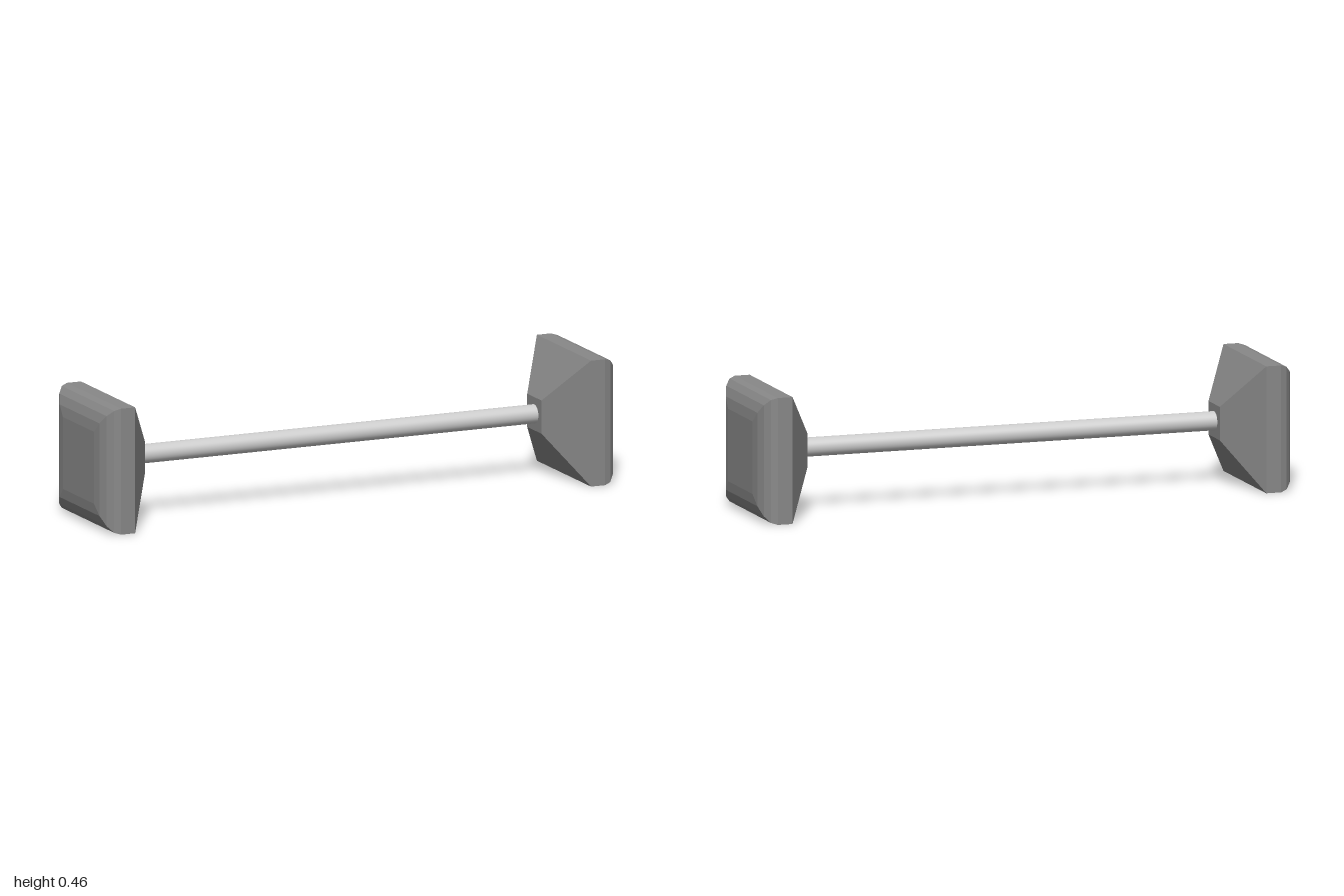
import * as THREE from 'three';

const CENTRE_Y = 0.2275;

// Square-sectioned head along +x: tapered neck, straight rim, rounded outer edge
function headGeometry() {
  const profile = [[0, 0.77], [0.06, 0.77], [0.2275, 0.885]];
  const steps = 4;
  for (let i = 0; i <= steps; i++) {
    const a = (i / steps) * Math.PI / 2;
    profile.push([0.13 + 0.0975 * Math.cos(a), 0.94 + 0.06 * Math.sin(a)]);
  }
  profile.push([0, 1]);
  // Half-widths become corner radii of a four-sided lathe
  const points = profile.map(([half, along]) => new THREE.Vector2(half * Math.SQRT2, along));
  return new THREE.LatheGeometry(points, 4, Math.PI / 4).rotateZ(-Math.PI / 2);
}

export function createModel() {
  const model = new THREE.Group();
  const barMaterial = new THREE.MeshStandardMaterial({ color: 0xcccccc });
  const headMaterial = new THREE.MeshStandardMaterial({ color: 0x888888, flatShading: true });

  // Round bar, ending just inside both heads
  const bar = new THREE.Mesh(
    new THREE.CylinderGeometry(0.034, 0.034, 1.56, 32).rotateZ(Math.PI / 2),
    barMaterial
  );
  bar.name = 'bar';
  bar.position.y = CENTRE_Y;
  model.add(bar);

  // Matching heads at the two ends
  const geometry = headGeometry();
  for (const [name, turn] of [['leftHead', 0], ['rightHead', Math.PI]]) {
    const head = new THREE.Mesh(geometry, headMaterial);
    head.name = name;
    head.position.y = CENTRE_Y;
    head.rotation.y = turn;
    model.add(head);
  }
  return model;
}
